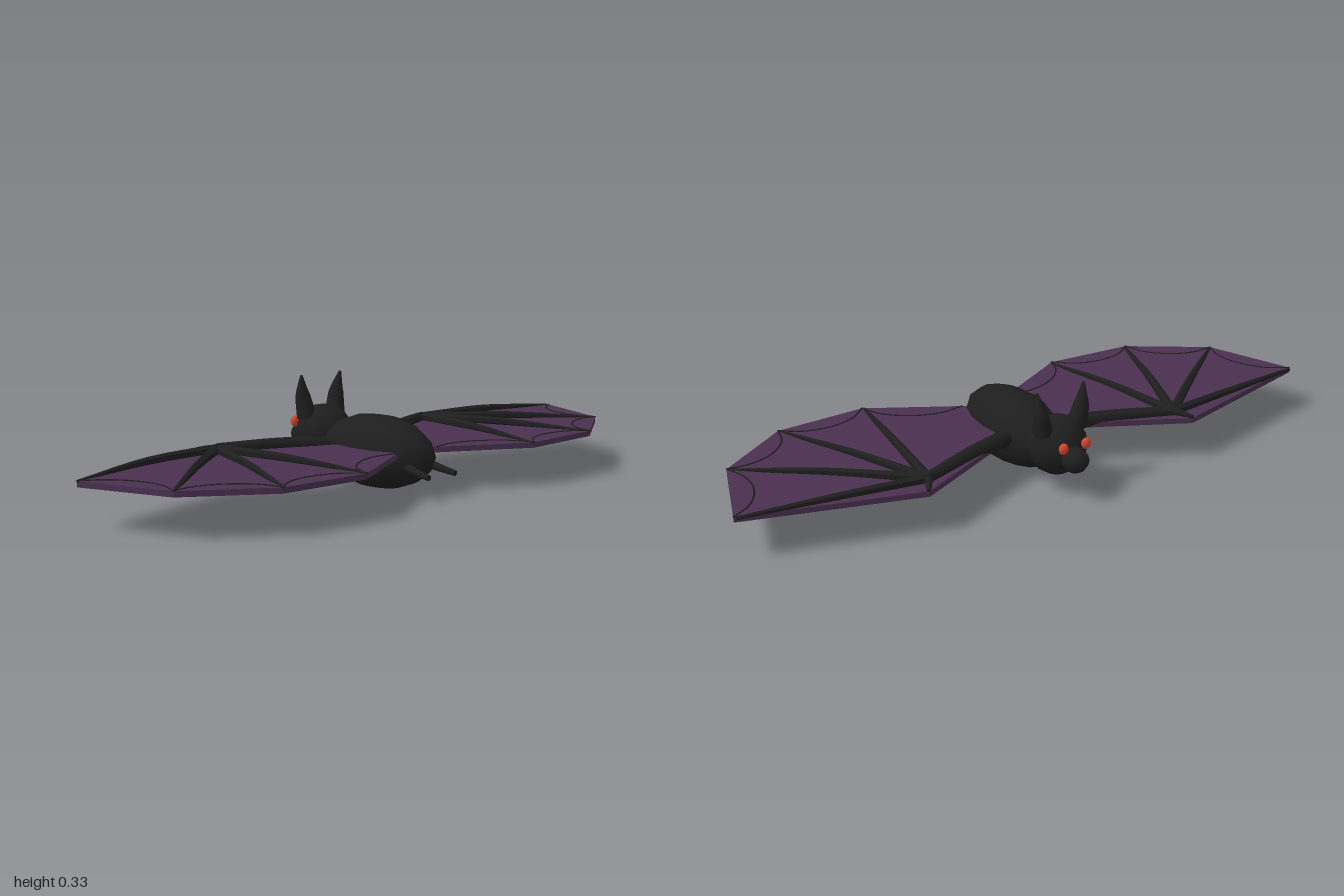
import * as THREE from 'three';
import { toCreasedNormals } from 'three/addons/utils/BufferGeometryUtils.js';

const V = (a) => new THREE.Vector3(...a);

// Closed, tapered limb along a curve; radii are spread evenly along its length.
function limb(points, radii, sides = 8, rings = 10) {
  const curve = new THREE.CatmullRomCurve3(points.map(V));
  const geo = new THREE.TubeGeometry(curve, rings, 1, sides);
  const pos = geo.attributes.position;
  const p = new THREE.Vector3();
  for (let i = 0; i <= rings; i++) {
    const t = THREE.MathUtils.clamp((i - 1) / (rings - 2), 0, 1);
    const k = Math.min(Math.floor(t * (radii.length - 1)), radii.length - 2);
    const f = t * (radii.length - 1) - k;
    // the first and last rings collapse to close the ends
    const r = i === 0 || i === rings ? 0 : THREE.MathUtils.lerp(radii[k], radii[k + 1], f);
    const from = curve.getPointAt(i / rings);
    const to = curve.getPointAt(t);
    for (let j = 0; j <= sides; j++) {
      const n = i * (sides + 1) + j;
      p.fromBufferAttribute(pos, n).sub(from).multiplyScalar(r).add(to);
      pos.setXYZ(n, p.x, p.y, p.z);
    }
  }
  return toCreasedNormals(geo, 1);
}

export function createModel() {
  const bat = new THREE.Group();
  bat.name = 'bat';
  const fur = new THREE.MeshStandardMaterial({ color: 0x1e1e1e });
  fur.name = 'black fur';
  const skin = new THREE.MeshStandardMaterial({ color: 0x4a3050 });
  skin.name = 'purple membrane';
  const red = new THREE.MeshStandardMaterial({ color: 0xd8452f });
  red.name = 'red eye';

  const add = (parent, name, geo, mat) => {
    const mesh = new THREE.Mesh(geo, mat);
    mesh.name = name;
    parent.add(mesh);
    return mesh;
  };
  const ball = (name, centre, size, mat, w = 16, h = 8) => {
    const mesh = add(bat, name, new THREE.SphereGeometry(1, w, h), mat);
    mesh.position.set(...centre);
    mesh.scale.set(...size);
  };

  // Body, head and snout
  ball('body', [0, 0.114, 0.028], [0.114, 0.114, 0.222], fur);
  ball('head', [0, 0.143, -0.215], [0.093, 0.092, 0.092], fur, 12, 8);
  ball('snout', [0, 0.128, -0.31], [0.042, 0.04, 0.045], fur, 10, 8);

  for (const s of [1, -1]) {
    const side = s > 0 ? 'left' : 'right';
    const m = (pts) => pts.map(([x, y, z]) => [s * x, y, z]);

    ball(side + 'Eye', [s * 0.04, 0.172, -0.309], [0.016, 0.018, 0.012], red, 10, 8);
    add(bat, side + 'Ear', limb(m([[0.06, 0.197, -0.23], [0.073, 0.272, -0.236], [0.083, 0.33, -0.229]]),
      [0.032, 0.024, 0.004]), fur);
    add(bat, side + 'Foot', limb(m([[0.048, 0.09, 0.2], [0.053, 0.081, 0.25], [0.057, 0.073, 0.3]]),
      [0.015, 0.009]), fur);

    const wing = new THREE.Group();
    wing.name = side + 'Wing';
    bat.add(wing);

    // Membrane: a thin flat plate, outline given as [x, z]
    const tips = [[1, -0.12], [0.895, 0.17], [0.655, 0.335], [0.36, 0.35]];
    const root = [0.085, 0.195];
    const outline = [[0.05, -0.06], [0.47, -0.273], ...tips, root, [0.05, 0.17]];
    const shape = new THREE.Shape(outline.map(([x, z]) => new THREE.Vector2(s * x, -z)));
    const plate = new THREE.ExtrudeGeometry(shape, { depth: 0.017, bevelEnabled: false });
    plate.rotateX(-Math.PI / 2).translate(0, 0.119, 0);
    add(wing, 'membrane', plate, skin);

    // Arm, thumb and fingers
    const wrist = [0.44, 0.143, -0.21];
    add(wing, 'arm', limb(m([[0.07, 0.128, -0.065], [0.25, 0.143, -0.135], wrist]),
      [0.028, 0.022, 0.018]), fur);
    add(wing, 'thumb', limb(m([wrist, [0.458, 0.142, -0.245], [0.473, 0.138, -0.272]]),
      [0.014, 0.006]), fur);
    for (const [x, z] of tips) {
      const mid = [(x + wrist[0]) / 2, 0.147, (z + wrist[2]) / 2 - (x === 1 ? 0.015 : 0)];
      add(wing, 'finger', limb(m([wrist, mid, [x - 0.006, 0.133, z - 0.005]]),
        [0.016, 0.012, 0.006], 6), fur);
    }

    // Fine scalloped ridges between the fingertips
    const ends = [...tips, root];
    for (let i = 0; i < 4; i++) {
      const [a, b] = [ends[i], ends[i + 1]];
      const dx = b[0] - a[0], dz = b[1] - a[1], len = Math.hypot(dx, dz);
      const at = (t, d) => [a[0] + dx * t - (dz / len) * d, 0.136, a[1] + dz * t + (dx / len) * d];
      add(wing, 'ridge', limb(m([at(0, 0), at(0.2, 0.048), at(0.5, 0.068), at(0.8, 0.048), at(1, 0)]),
        [0.003, 0.003], 5, 14), fur);
    }
  }
  return bat;
}
